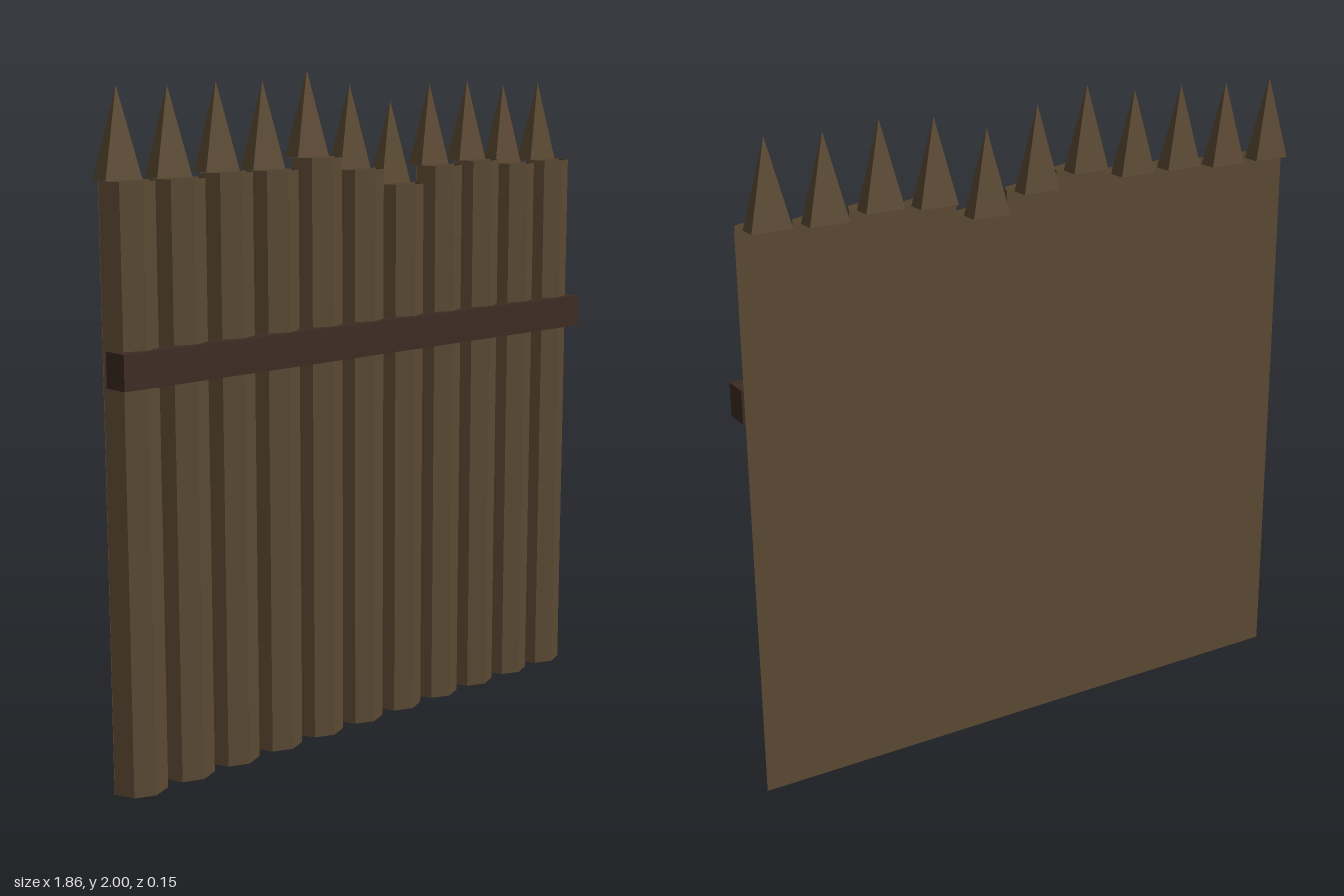
import * as THREE from 'three';

export function createModel() {
  const group = new THREE.Group();
  group.name = 'palisadeWall';

  const wood = new THREE.MeshStandardMaterial({ color: 0x5c4a33, flatShading: true, side: THREE.DoubleSide });
  const darkWood = new THREE.MeshStandardMaterial({ color: 0x3e2b23, flatShading: true });

  const add = (parent, name, geometry, material, x, y, z) => {
    const mesh = new THREE.Mesh(geometry, material);
    mesh.name = name;
    mesh.position.set(x, y, z);
    parent.add(mesh);
    return mesh;
  };

  const heights = [1.71, 1.71, 1.72, 1.72, 1.75, 1.71, 1.66, 1.71, 1.72, 1.705, 1.71];
  const pitch = 0.1685, radius = 0.083, backZ = -0.02, spikeHeight = 0.25;

  // Four-sided spike with a closed base, 0.12 wide and 0.057 deep
  const spikeGeometry = new THREE.ConeGeometry(Math.SQRT1_2, spikeHeight, 4, 1);
  spikeGeometry.rotateY(Math.PI / 4);
  spikeGeometry.scale(0.12, 1, 0.057);

  heights.forEach((h, i) => {
    const stake = new THREE.Group();
    stake.name = `stake${i + 1}`;
    stake.position.x = (i - (heights.length - 1) / 2) * pitch;
    group.add(stake);

    // Half-octagon log, open at top and bottom
    const half = new THREE.CylinderGeometry(radius, radius, h, 4, 1, true, -Math.PI / 2, Math.PI);
    add(stake, 'halfLog', half, wood, 0, h / 2, backZ);

    // Flat back of the log
    const back = new THREE.PlaneGeometry(pitch, h).rotateY(Math.PI);
    add(stake, 'logBack', back, wood, 0, h / 2, backZ);

    // Spike behind the log's top edge
    add(stake, 'spike', spikeGeometry, wood, 0, h + spikeHeight / 2, -0.0485);
  });

  // Horizontal rail across the front
  add(group, 'rail', new THREE.BoxGeometry(1.855, 0.1, 0.081), darkWood, 0, 1.21, 0.0365);

  return group;
}
